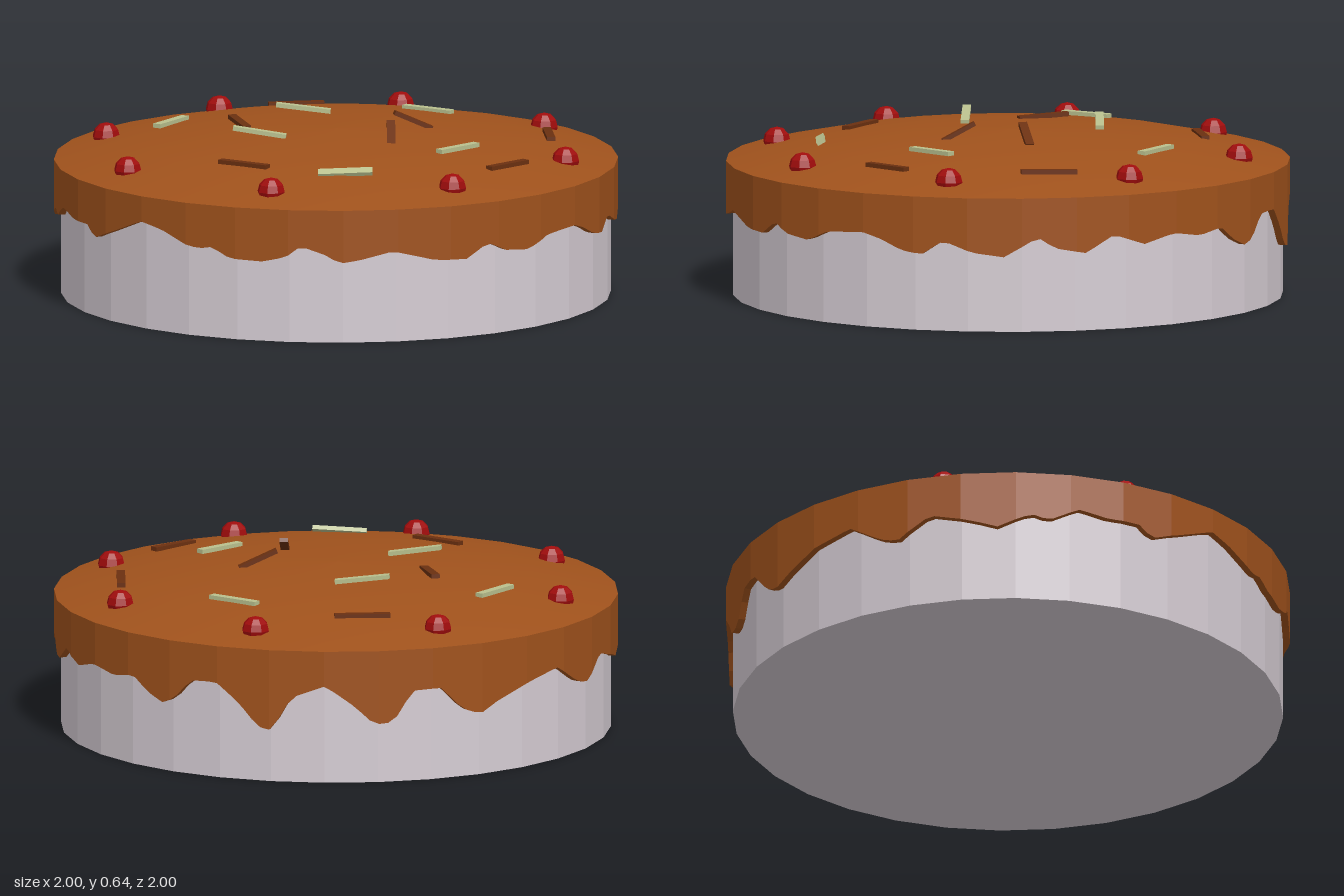
import * as THREE from 'three';

const SIDES = 32;
const RIM_Y = 0.48;
const mat = (color, flatShading = true) => new THREE.MeshStandardMaterial({ color, flatShading });

// Lower edge of the icing: [angle in degrees from the front towards +x, height]
const DRIPS = [
  [0, .33], [3, .32], [6, .33], [10, .295], [17, .29], [22, .31], [25, .35], [30, .32], [33, .29],
  [37, .3], [44, .33], [53, .29], [60, .285], [65, .335], [69.5, .3], [75.5, .29], [81, .33],
  [90, .34], [94, .32], [98.6, .285], [103, .275], [107.5, .325], [113.6, .285], [120, .27],
  [127, .34], [130.5, .3], [137, .28], [143, .34], [150, .3], [157, .33], [164, .31], [170, .33],
  [174, .28], [178, .25], [181, .27], [185, .345], [191, .35], [196, .28], [200, .2], [203, .19],
  [207, .31], [214, .355], [220, .28], [224, .215], [228, .22], [232, .33], [238, .335], [243, .25],
  [247, .225], [251, .26], [259, .31], [268, .34], [275, .27], [279, .25], [286, .33], [296, .29],
  [300, .27], [307, .32], [310.5, .3], [317, .35], [323, .33], [330, .33], [333, .29], [339.5, .33],
  [344, .36], [348.5, .39], [354, .37], [360, .33],
];

function dripHeight(deg) {
  const i = Math.min(DRIPS.length - 1, DRIPS.findIndex(([a]) => a > deg) || DRIPS.length - 1);
  const [a0, y0] = DRIPS.at(i - 1 < 0 ? -2 : i - 1);
  const [a1, y1] = DRIPS.at(i < 0 ? -1 : i);
  return THREE.MathUtils.lerp(y0, y1, (deg - a0) / (a1 - a0));
}

// Icing wall and its under-lip, following the flat sides of the cake
function icingWall() {
  const n = SIDES * 6, step = (Math.PI * 2) / SIDES, positions = [];
  const section = (i) => {
    const a = ((i % n) / n) * Math.PI * 2;
    const flat = Math.cos(step / 2) / Math.cos((a % step) - step / 2);
    const y = dripHeight(((i % n) / n) * 360);
    return [[1, RIM_Y], [1, y], [0.97, y]].map(([r, h]) =>
      [Math.sin(a) * r * flat, h, Math.cos(a) * r * flat]);
  };
  for (let i = 0; i < n; i++) {
    const s = section(i), t = section(i + 1);
    for (let k = 0; k < 2; k++) {
      positions.push(...s[k], ...s[k + 1], ...t[k + 1], ...s[k], ...t[k + 1], ...t[k]);
    }
  }
  const g = new THREE.BufferGeometry();
  g.setAttribute('position', new THREE.Float32BufferAttribute(positions, 3));
  g.computeVertexNormals();
  return g;
}

export function createModel() {
  const model = new THREE.Group();
  const add = (name, geometry, material, parent = model) => {
    const mesh = new THREE.Mesh(geometry, material);
    mesh.name = name;
    parent.add(mesh);
    return mesh;
  };
  const group = (name) => {
    const g = new THREE.Group();
    g.name = name;
    model.add(g);
    return g;
  };

  // Cake body
  add('cakeBody', new THREE.CylinderGeometry(0.975, 0.975, 0.47, SIDES), mat(0xd6cdd4))
    .position.y = 0.235;

  // Icing: shallow dome and dripping wall
  const icing = group('icing');
  const icingColor = 0xa0521c;
  const dome = [[1, RIM_Y], [0.7, 0.543], [0.35, 0.578], [0, 0.588]];
  add('icingTop', new THREE.LatheGeometry(dome.map(([r, y]) => new THREE.Vector2(r, y)), SIDES),
    mat(icingColor, false), icing);
  add('icingDrips', icingWall(), mat(icingColor), icing);

  // Ring of cherries
  const cherries = group('cherries');
  const cherryGeometry = new THREE.SphereGeometry(0.05, 8, 6);
  const red = mat(0xa00c0c);
  for (let i = 0; i < 8; i++) {
    const a = THREE.MathUtils.degToRad(16.5 + i * 45);
    const cherry = add('cherry', cherryGeometry, red, cherries);
    cherry.position.set(Math.sin(a) * 0.845, 0.515, Math.cos(a) * 0.845);
    cherry.rotation.y = a;
  }

  // Chocolate sticks: end points, then an optional roll
  const sticks = (name, color, list) => {
    const parent = group(name + 's');
    const material = mat(color);
    for (const [x1, y1, z1, x2, y2, z2, roll = 0] of list) {
      const a = new THREE.Vector3(x1, y1, z1), b = new THREE.Vector3(x2, y2, z2);
      const stick = add(name, new THREE.BoxGeometry(0.03, 0.015, a.distanceTo(b)), material, parent);
      stick.position.copy(a).add(b).multiplyScalar(0.5);
      stick.lookAt(b);
      stick.rotateZ(roll);
    }
  };
  sticks('darkStick', 0x6b3010, [
    [0.15, 0.635, -0.15, 0.25, 0.575, -0.24],
    [0.23, 0.635, 0, 0.295, 0.57, 0.1],
    [-0.43, 0.588, 0.01, -0.29, 0.58, 0.13],
    [-0.1, 0.557, 0.61, 0.1, 0.557, 0.61],
    [0.51, 0.54, -0.59, 0.63, 0.543, -0.43],
    [0.77, 0.54, -0.04, 0.73, 0.54, 0.14],
    [-0.56, 0.545, -0.44, -0.41, 0.545, -0.57],
  ]);
  sticks('lightStick', 0xb9c08e, [
    [-0.355, 0.61, -0.165, -0.19, 0.587, -0.265],
    [-0.235, 0.615, 0.31, -0.07, 0.587, 0.22],
    [0.3, 0.552, 0.595, 0.465, 0.56, 0.495, 0.5],
    [0.495, 0.57, 0.1, 0.535, 0.57, -0.085],
    [-0.1, 0.557, -0.61, 0.1, 0.557, -0.61],
    [-0.65, 0.555, -0.03, -0.65, 0.555, 0.16],
  ]);
  return model;
}
